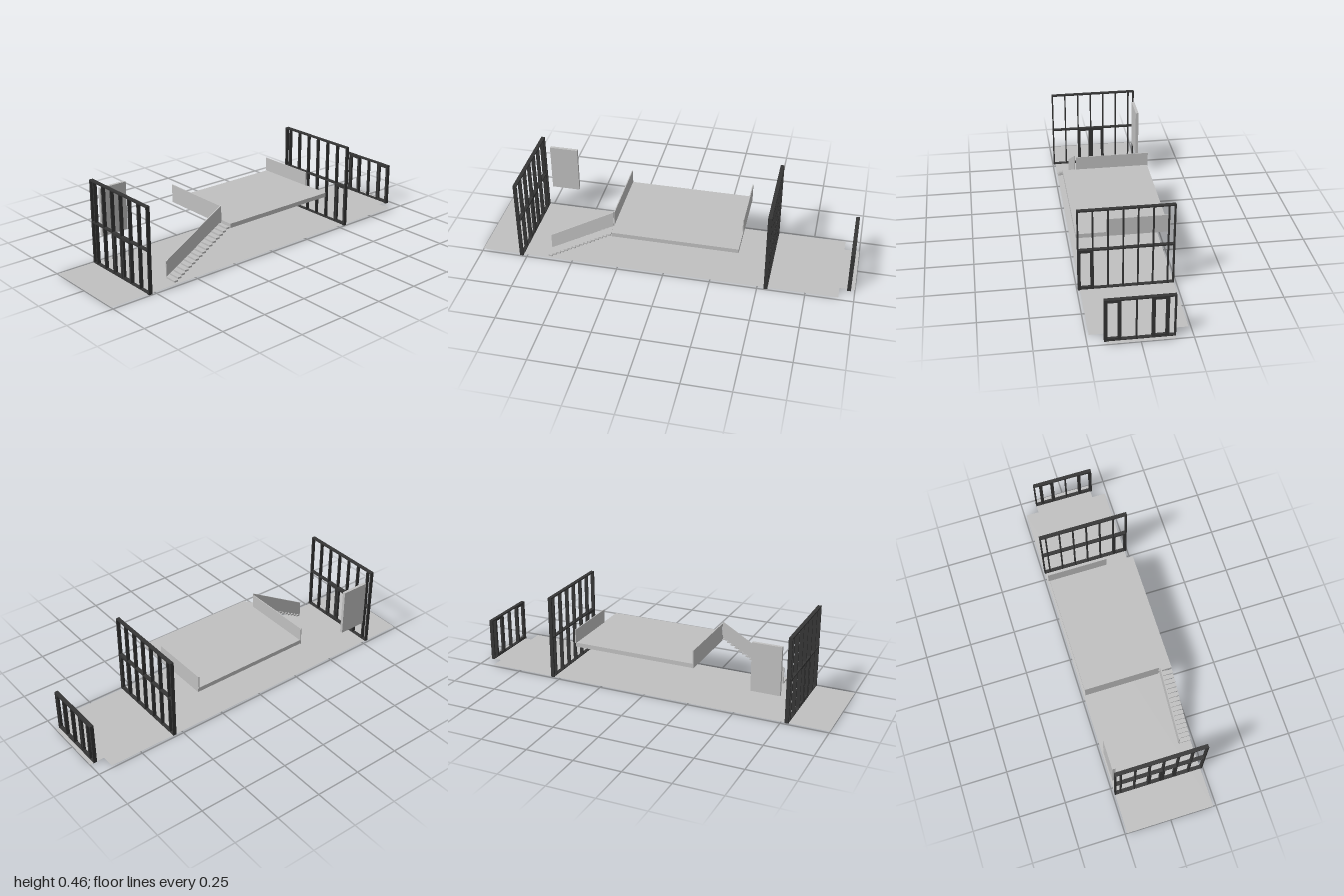
import * as THREE from 'three';

const grey = new THREE.MeshStandardMaterial({ color: 0xc0c0c0, side: THREE.DoubleSide });
grey.name = 'light grey';
const dark = new THREE.MeshStandardMaterial({ color: 0x353535 });
dark.name = 'dark frame';

// Box given by its limits on each axis
function block(parent, name, mat, x0, x1, y0, y1, z0, z1) {
  const m = new THREE.Mesh(new THREE.BoxGeometry(x1 - x0, y1 - y0, z1 - z0), mat);
  m.position.set((x0 + x1) / 2, (y0 + y1) / 2, (z0 + z1) / 2);
  m.name = name;
  parent.add(m);
  return m;
}

// Glazing grid in the y-z plane: posts, horizontal bars and heavier door leaves
function windowFrame(name, x, z0, z1, height, bars, posts, doors) {
  const g = new THREE.Group();
  g.name = name;
  const t = 0.01, w = 0.006;
  for (const y of bars) block(g, 'bar', dark, x - t, x + t, y, y + 0.007, z0, z1);
  block(g, 'endPost', dark, x - t, x + t, 0, height, z0, z0 + 0.007);
  block(g, 'endPost', dark, x - t, x + t, 0, height, z1 - 0.007, z1);
  for (const z of posts) block(g, 'post', dark, x - t, x + t, 0, height, z - w / 2, z + w / 2);
  for (const [a, b] of doors) {
    const d = 0.007, s = 0.013;
    block(g, 'doorStile', dark, x - d, x + d, 0.002, 0.225, a, a + s);
    block(g, 'doorStile', dark, x - d, x + d, 0.002, 0.225, b - s, b);
    block(g, 'doorSill', dark, x - d, x + d, 0.002, 0.015, a + s, b - s);
    block(g, 'doorHead', dark, x - d, x + d, 0.214, 0.225, a + s, b - s);
  }
  return g;
}

export function createModel() {
  const model = new THREE.Group();

  // Ground floor sheet with a narrower bay at the end
  const outline = [[-1, -0.235], [0.92, -0.235], [0.92, -0.16], [1, -0.16],
    [1, 0.167], [0.92, 0.167], [0.92, 0.238], [-1, 0.238]];
  const floor = new THREE.Mesh(
    new THREE.ShapeGeometry(new THREE.Shape(outline.map(p => new THREE.Vector2(...p)))), grey);
  floor.rotation.x = -Math.PI / 2;
  floor.position.y = 0.003;
  floor.name = 'floor';
  model.add(floor);

  // Mezzanine slab with its two parapets
  block(model, 'mezzanine', grey, -0.275, 0.395, 0.205, 0.228, -0.238, 0.235);
  block(model, 'stairSideParapet', grey, -0.28, -0.275, 0.205, 0.303, -0.241, 0.16);
  block(model, 'farSideParapet', grey, 0.39, 0.395, 0.228, 0.303, -0.245, 0.083);

  // Small round fittings under the slab
  for (const [x, z] of [[-0.17, -0.14], [0.055, 0.05]]) {
    const lamp = new THREE.Mesh(new THREE.CylinderGeometry(0.016, 0.016, 0.004, 24), grey);
    lamp.position.set(x, 0.204, z);
    lamp.name = 'ceilingLamp';
    model.add(lamp);
  }

  // Open stair: floating treads and a solid sloping balustrade
  const stair = new THREE.Group();
  stair.name = 'stair';
  const count = 16;
  for (let i = 0; i < count; i++) {
    const x = -0.63 + i * 0.0219, y = 0.013 + i * 0.0128;
    block(stair, 'tread', grey, x, x + 0.021, y, y + 0.009, 0.168, 0.235);
  }
  const side = new THREE.Shape([[-0.63, 0.022], [-0.28, 0.222], [-0.28, 0.309], [-0.63, 0.105]]
    .map(p => new THREE.Vector2(...p)));
  const rail = new THREE.Mesh(
    new THREE.ExtrudeGeometry(side, { depth: 0.005, bevelEnabled: false }), grey);
  rail.position.z = 0.165;
  rail.name = 'balustrade';
  stair.add(rail);
  model.add(stair);

  // Flat panel on the back wall
  block(model, 'wallPanel', grey, -0.74, -0.585, 0.14, 0.4, -0.238, -0.222);

  // Three glazed screens sharing one post spacing
  const posts = [0.168, 0.093, 0.018, -0.056, -0.131, -0.206];
  const bay = i => [posts[i], posts[i - 1]];
  const tall = [0, 0.225, 0.448];
  model.add(windowFrame('rearScreen', -0.78, -0.239, 0.245, 0.455, tall, posts, [bay(2), bay(3)]));
  model.add(windowFrame('middleScreen', 0.545, -0.239, 0.245, 0.455, tall, posts, [[0.168, 0.243]]));
  model.add(windowFrame('lowScreen', 0.97, -0.167, 0.17, 0.232, [0, 0.225],
    posts.slice(1, 5), [bay(1), bay(4)]));

  return model;
}
